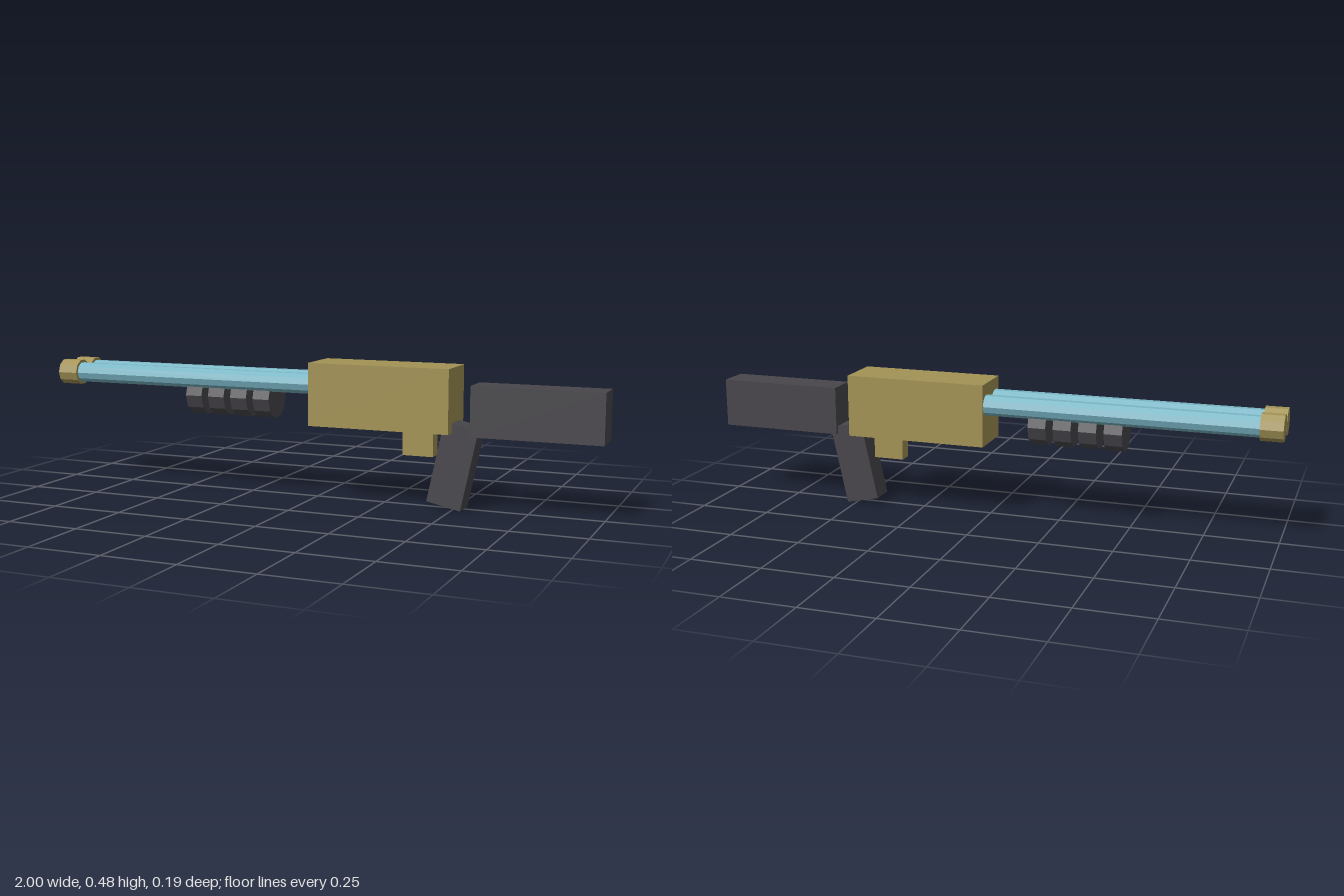
import * as THREE from 'three';

const material = (color) => new THREE.MeshStandardMaterial({ color, flatShading: true });

export function createModel() {
  const model = new THREE.Group();
  const brass = material(0xa39355);
  const blue = material(0x79b5c4);
  const dark = material(0x48464b);

  function add(name, geometry, mat, x, y, z) {
    const mesh = new THREE.Mesh(geometry, mat);
    mesh.name = name;
    mesh.position.set(x, y, z);
    model.add(mesh);
    return mesh;
  }

  // Box given by its x and y limits, centred on z
  const box = (name, mat, x0, x1, y0, y1, depth) =>
    add(name, new THREE.BoxGeometry(x1 - x0, y1 - y0, depth), mat, (x0 + x1) / 2, (y0 + y1) / 2, 0);

  // Ten-sided rod lying along x
  const rod = (name, mat, x0, x1, radius, y, z) =>
    add(name, new THREE.CylinderGeometry(radius, radius, x1 - x0, 10).rotateZ(Math.PI / 2),
      mat, (x0 + x1) / 2, y, z);

  // Receiver, trigger block and stock
  box('receiver', brass, 0, 0.498, 0.261, 0.477, 0.171);
  box('triggerBlock', brass, 0.321, 0.428, 0.173, 0.254, 0.05);
  box('stock', dark, 0.562, 1, 0.253, 0.422, 0.109);

  // Raked pistol grip
  const grip = add('grip', new THREE.BoxGeometry(0.12, 0.28, 0.087), dark, 0.501, 0.15, 0);
  grip.rotation.z = -THREE.MathUtils.degToRad(12);

  // Twin barrels with muzzle collars
  for (const side of [1, -1]) {
    const name = side > 0 ? 'front' : 'back';
    rod(name + 'Barrel', blue, -0.96, 0.005, 0.036, 0.402, side * 0.047);
    rod(name + 'Muzzle', brass, -1, -0.925, 0.046, 0.402, side * 0.047);
  }

  // Four separate pump rings below the barrels
  for (let i = 0; i < 4; i++) {
    const x = -0.479 + i * 0.0875;
    rod('pumpRing' + (i + 1), dark, x, x + 0.062, 0.072, 0.34, 0);
  }

  return model;
}
